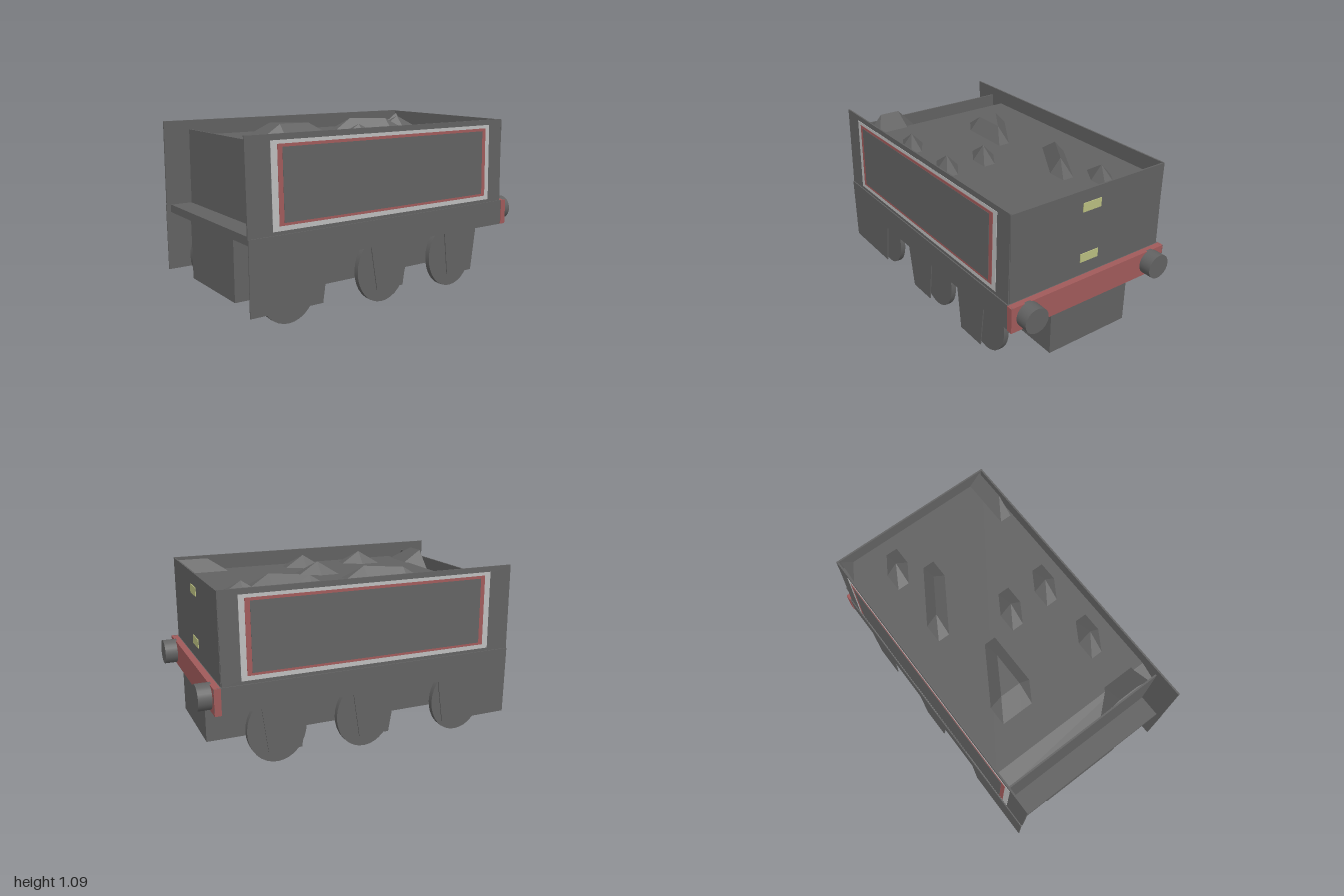
import * as THREE from 'three';

const paint = (name, color) => {
  const m = new THREE.MeshStandardMaterial({ color });
  m.name = name;
  return m;
};

export function createModel() {
  const model = new THREE.Group();
  model.name = 'coalTender';
  const grey = paint('bodyGrey', 0x626262);
  const red = paint('trimRed', 0xa05a5a);
  const white = paint('trimWhite', 0xbcbcbc);
  const yellow = paint('plateYellow', 0xb9be80);

  const add = (name, geo, mat, x = 0, y = 0, z = 0, parent = model) => {
    const mesh = new THREE.Mesh(geo, mat);
    mesh.name = name;
    mesh.position.set(x, y, z);
    parent.add(mesh);
    return mesh;
  };
  // Box given by its minimum and maximum on each axis
  const block = (name, mat, x0, x1, y0, y1, z0, z1, parent = model) =>
    add(name, new THREE.BoxGeometry(x1 - x0, y1 - y0, z1 - z0), mat,
      (x0 + x1) / 2, (y0 + y1) / 2, (z0 + z1) / 2, parent);

  // Chassis, deck, tank and end walls
  block('chassis', grey, -0.288, 0.288, 0.12, 0.5, -0.91, 0.95);
  block('deck', grey, -0.562, 0.562, 0.5, 0.55, -0.88, 0.97);
  block('tank', grey, -0.54, 0.54, 0.55, 0.93, -0.865, 0.825);
  block('frontWall', grey, -0.547, 0.547, 0.55, 1.03, 0.822, 0.832);
  block('backWall', grey, -0.55, 0.55, 0.55, 1.085, -0.876, -0.866);
  block('bufferBeam', red, -0.572, 0.572, 0.39, 0.55, -0.92, -0.88);

  // Small plates on the back wall
  for (const y of [0.98, 0.66])
    block('backPlate', yellow, -0.065, 0.065, y - 0.027, y + 0.027, -0.881, -0.875);

  // Hanging wheel guards, drawn as [z, y]
  const guard = new THREE.Shape([
    [1, 0.55], [1, 0.12], [0.54, 0.12], [0.5, 0.39], [0.2, 0.39], [0.155, 0.12],
    [-0.04, 0.12], [-0.08, 0.39], [-0.38, 0.39], [-0.41, 0.12], [-0.615, 0.12],
    [-0.65, 0.39], [-0.92, 0.39], [-0.92, 0.55],
  ].map(([z, y]) => new THREE.Vector2(-z, y)));
  const guardGeo = new THREE.ExtrudeGeometry(guard, { depth: 0.006, bevelEnabled: false });
  guardGeo.translate(0, 0, -0.003).rotateY(Math.PI / 2);

  const wheelGeo = new THREE.CylinderGeometry(0.185, 0.185, 0.034, 32);
  wheelGeo.rotateZ(Math.PI / 2).scale(1, 1.15, 1);
  const axleGeo = new THREE.CylinderGeometry(0.021, 0.021, 0.72, 16).rotateZ(Math.PI / 2);
  const bufferGeo = new THREE.CylinderGeometry(0.078, 0.078, 0.09, 24).rotateX(Math.PI / 2);
  const wheelZ = [0.705, 0.04, -0.527];

  for (const s of [-1, 1]) {
    add('wheelGuard', guardGeo, grey, s * 0.565);
    add('buffer', bufferGeo, grey, s * 0.46, 0.475, -0.955);
    for (const z of wheelZ) add('wheel', wheelGeo, grey, s * 0.45, 0.215, z);

    // Side wall leaning inward, with a framed panel in thin layers
    const wall = new THREE.Group();
    wall.name = 'sideWall';
    wall.position.set(s * 0.5495, 0.82, 0);
    wall.rotation.z = s * 0.025;
    model.add(wall);
    block('wallSheet', grey, -0.005, 0.005, -0.272, 0.268, -0.873, 1, wall);
    const layer = (name, mat, t, y0, y1, z0, z1) => {
      const plate = block(name, mat, 0, t, y0 - 0.82, y1 - 0.82, z0, z1, wall);
      plate.position.x = s * (0.004 + t / 2);
    };
    layer('whiteFrame', white, 0.003, 0.57, 1.055, -0.76, 0.85);
    layer('redFrame', red, 0.005, 0.597, 1.035, -0.725, 0.81);
    layer('innerPanel', grey, 0.007, 0.612, 1.018, -0.695, 0.78);
  }
  for (const z of wheelZ) add('axle', axleGeo, grey, 0.008, 0.215, z);

  // Level coal bed with a slope down to the front wall
  const bed = new THREE.Shape([[0.865, 0.92], [0.865, 0.99], [-0.72, 0.99], [-0.82, 0.94], [-0.82, 0.92]]
    .map(([x, y]) => new THREE.Vector2(x, y)));
  const bedGeo = new THREE.ExtrudeGeometry(bed, { depth: 1.084, bevelEnabled: false });
  bedGeo.translate(0, 0, -0.542).rotateY(Math.PI / 2);
  add('coalBed', bedGeo, grey);

  // Coal lumps: a faceted grid whose raised points break through the bed
  const peaks = ['0,0', '8,0', '8,1', '2,1', '3,2', '2,3', '5,4', '7,4', '3,5', '2,6', '3,6', '7,6', '6,8', '7,8'];
  const lumps = new THREE.PlaneGeometry(1.05, 1.69, 8, 8).rotateX(-Math.PI / 2);
  const p = lumps.attributes.position;
  for (let i = 0; i < p.count; i++)
    p.setY(i, peaks.includes(`${i % 9},${Math.floor(i / 9)}`) ? 1.07 : 0.93);
  const lumpGeo = lumps.toNonIndexed();
  lumpGeo.computeVertexNormals();
  add('coalLumps', lumpGeo, grey, 0, 0, -0.025);

  return model;
}
